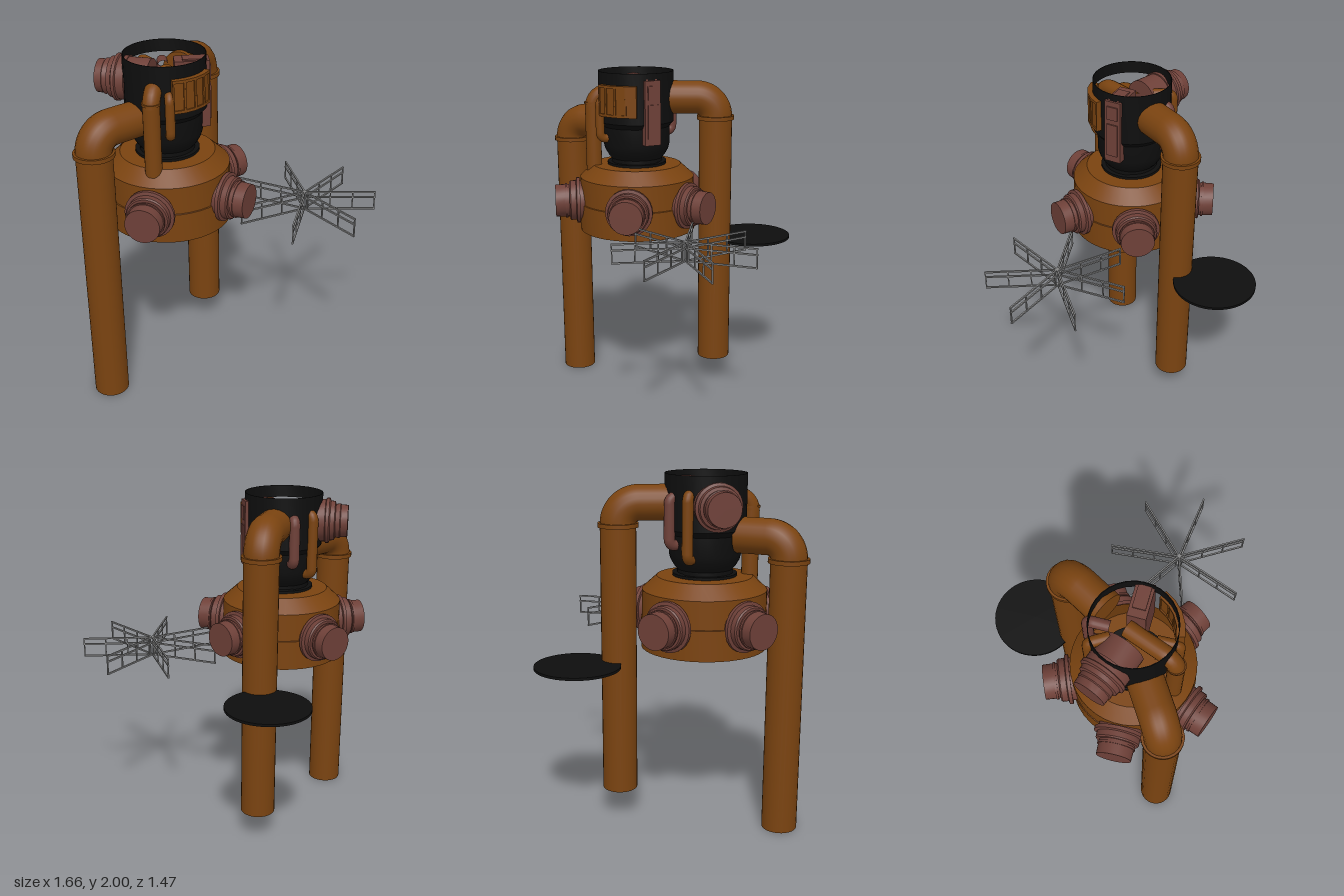
import * as THREE from 'three';
import { toCreasedNormals } from 'three/addons/utils/BufferGeometryUtils.js';

const mat = (name, color, side = THREE.FrontSide) => {
  const m = new THREE.MeshStandardMaterial({ color, side });
  m.name = name;
  return m;
};

export function createModel() {
  const brown = mat('rustBrown', 0x7a4310);
  const red = mat('oxideRed', 0x6e4038);
  const black = mat('black', 0x0e0e0e);
  const steel = mat('steelGrey', 0x858585);

  const model = new THREE.Group();
  model.name = 'processingTower';
  // Tower axis: local +z of a spoke group points outwards at its azimuth
  const tower = new THREE.Group();
  tower.name = 'tower';
  tower.position.set(-0.325, 0, 0.228);
  model.add(tower);

  const add = (parent, name, geo, material, x = 0, y = 0, z = 0) => {
    const mesh = new THREE.Mesh(geo, material);
    mesh.name = name;
    mesh.position.set(x, y, z);
    parent.add(mesh);
    return mesh;
  };
  const spoke = (name, azimuth) => {
    const g = new THREE.Group();
    g.name = name;
    g.rotation.y = azimuth;
    tower.add(g);
    return g;
  };
  const deg = THREE.MathUtils.degToRad;
  const lathe = (profile, sides = 32) => toCreasedNormals(
    new THREE.LatheGeometry(profile.map(([r, y]) => new THREE.Vector2(r, y)), sides), 0.6);
  // Pipe through points given as [y, z] in a spoke's plane, with rounded corners
  const pipe = (points, radius, bend, steps = 40) => {
    const p = points.map(([y, z]) => new THREE.Vector3(0, y, z));
    const path = new THREE.CurvePath();
    let from = p[0];
    for (let i = 1; i < p.length - 1; i++) {
      const a = p[i].clone().add(p[i - 1].clone().sub(p[i]).setLength(bend));
      const b = p[i].clone().add(p[i + 1].clone().sub(p[i]).setLength(bend));
      const k = 0.552;
      path.add(new THREE.LineCurve3(from, a));
      path.add(new THREE.CubicBezierCurve3(a, a.clone().lerp(p[i], k), b.clone().lerp(p[i], k), b));
      from = b;
    }
    path.add(new THREE.LineCurve3(from, p[p.length - 1]));
    return new THREE.TubeGeometry(path, steps, radius, 20);
  };

  // Drum
  add(tower, 'drum', lathe([[0, 1.03], [0.355, 1.03], [0.355, 1.2], [0.35, 1.203],
    [0.35, 1.36], [0.268, 1.435], [0, 1.435]], 40), brown);

  // Vessel: open shell with a short inner lip
  add(tower, 'vesselFlange', lathe([[0.165, 1.437], [0.18, 1.437], [0.18, 1.452], [0.155, 1.452]]), black);
  add(tower, 'vessel', lathe([[0.155, 1.45], [0.155, 1.475], [0.172, 1.495], [0.192, 1.53],
    [0.2, 1.56], [0.202, 1.67], [0.227, 1.7], [0.227, 2.0], [0.223, 2.0], [0.223, 1.93]]), black);
  const floorArc = add(tower, 'vesselFloor', new THREE.RingGeometry(0.11, 0.18, 24, 1, deg(45), deg(75)), black, 0, 1.456, 0);
  floorArc.rotation.x = -Math.PI / 2;

  // Two bent leg pipes: azimuth, foot height, elbow axis height
  for (const [name, az, foot, top] of [
    ['frontLeg', Math.atan2(-0.285, 0.387), 0, 1.672],
    ['backLeg', Math.atan2(0.072, -0.478), 0.175, 1.84],
  ]) {
    const g = spoke(name, az);
    const r = 0.1, d = 0.481, bendY = top - 0.12;
    add(g, name + 'Pipe', new THREE.CylinderGeometry(r, r, bendY - foot, 28), brown, 0, (bendY + foot) / 2, d);
    add(g, name + 'Collar', new THREE.CylinderGeometry(0.113, 0.113, 0.024, 28), brown, 0, bendY, d);
    add(g, name + 'Elbow', pipe([[bendY - 0.01, d], [top, d], [top, 0.19]], r, 0.115), brown);
    add(g, name + 'End', new THREE.CircleGeometry(r, 28), brown, 0, top, 0.19).rotation.y = Math.PI;
  }

  // Stepped ports around the drum
  const portProfile = [[0, 0.3], [0.12, 0.3], [0.12, 0.355], [0.14, 0.355], [0.14, 0.375],
    [0.122, 0.38], [0.122, 0.412], [0.115, 0.42], [0.1, 0.42], [0.1, 0.432], [0.106, 0.432],
    [0.106, 0.445], [0.1, 0.445], [0.098, 0.505], [0, 0.505]];
  const portGeo = lathe(portProfile, 28).rotateX(Math.PI / 2);
  [0, 78, 142, -137, -67].forEach((a, i) =>
    add(spoke('drumPort' + (i + 1), deg(a)), 'port', portGeo, red, 0, 1.21, 0));

  // Side pump through the vessel wall
  const pumpGeo = lathe([[0, 0.075], [0.115, 0.075], [0.115, 0.2], [0.122, 0.2], [0.122, 0.245],
    [0.13, 0.25], [0.13, 0.268], [0.115, 0.275], [0.112, 0.3], [0.096, 0.305], [0.1, 0.33],
    [0.094, 0.335], [0.092, 0.375], [0, 0.375]], 28).rotateX(Math.PI / 2);
  add(spoke('vesselPump', deg(-90)), 'pump', pumpGeo, red, 0, 1.84, 0);

  // Control cabinet with raised panels
  const cabinet = spoke('cabinet', deg(110));
  add(cabinet, 'cabinetBody', new THREE.BoxGeometry(0.1, 0.38, 0.19), red, 0, 1.77, 0.145);
  add(cabinet, 'lowerPanel', new THREE.BoxGeometry(0.066, 0.2, 0.009), red, 0, 1.72, 0.243);
  add(cabinet, 'upperPanel', new THREE.BoxGeometry(0.066, 0.08, 0.009), red, 0, 1.89, 0.243);
  add(cabinet, 'topPanel', new THREE.BoxGeometry(0.07, 0.009, 0.13), red, 0, 1.963, 0.16);

  // Framed plates wrapped round the vessel
  for (let i = 0; i < 4; i++) {
    const g = spoke('wrapPlate' + (i + 1), deg(33.5 + i * 15));
    add(g, 'plate', new THREE.BoxGeometry(0.064, 0.17, 0.03), brown, 0, 1.838, 0.232);
    for (const s of [-1, 1]) {
      add(g, 'rail', new THREE.BoxGeometry(0.068, 0.016, 0.045), brown, 0, 1.838 + s * 0.084, 0.232);
      add(g, 'rib', new THREE.BoxGeometry(0.008, 0.17, 0.045), brown, s * 0.03, 1.838, 0.232);
    }
  }

  // Feed pipe on the front, from the drum into the vessel
  const feed = spoke('feedPipe', 0);
  add(feed, 'feedPipeTube', pipe([[1.4, 0.262], [1.872, 0.262], [1.872, -0.04]], 0.047, 0.085), brown);
  add(feed, 'feedPipeCollar', new THREE.CylinderGeometry(0.051, 0.051, 0.012, 20), brown, 0, 1.81, 0.262);
  add(feed, 'feedPipeFoot', new THREE.CircleGeometry(0.047, 20), brown, 0, 1.4, 0.262).rotation.x = Math.PI / 2;

  // Small looped pipes: azimuth, low end, high end, reach, radius
  for (const [name, a, low, high, reach, r, m] of [
    ['frontLoop', 22, 1.605, 1.84, 0.242, 0.026, brown],
    ['backLoop', -129, 1.55, 1.9, 0.235, 0.03, brown],
    ['redLoop', -159, 1.62, 1.88, 0.24, 0.03, red],
  ]) {
    add(spoke(name, deg(a)), name + 'Tube',
      pipe([[low, 0.12], [low, reach], [high, reach], [high, 0.12]], r, 0.035), m);
  }

  // Thin round plate behind the back leg
  add(model, 'roundPlate', new THREE.CylinderGeometry(0.243, 0.243, 0.015, 48), black, -0.33, 0.948, -0.497);

  // Lattice rotor: seven ladder arms
  const rotor = new THREE.Group();
  rotor.name = 'latticeRotor';
  rotor.position.set(0.432, 0, 0.02);
  model.add(rotor);
  const length = 0.412, t = 0.009;
  for (let i = 0; i < 7; i++) {
    const arm = new THREE.Group();
    arm.name = 'rotorArm' + (i + 1);
    arm.rotation.y = i * Math.PI * 2 / 7;
    rotor.add(arm);
    for (const y of [1.03, 1.104, 1.138])
      add(arm, 'armBar', new THREE.BoxGeometry(t, t, length), steel, 0, y, length / 2);
    for (const z of [0.02, 0.15, 0.28, length - t / 2])
      add(arm, 'armPost', new THREE.BoxGeometry(t * 0.8, 0.112, t * 0.8), steel, 0, 1.084, z);
  }

  return model;
}
